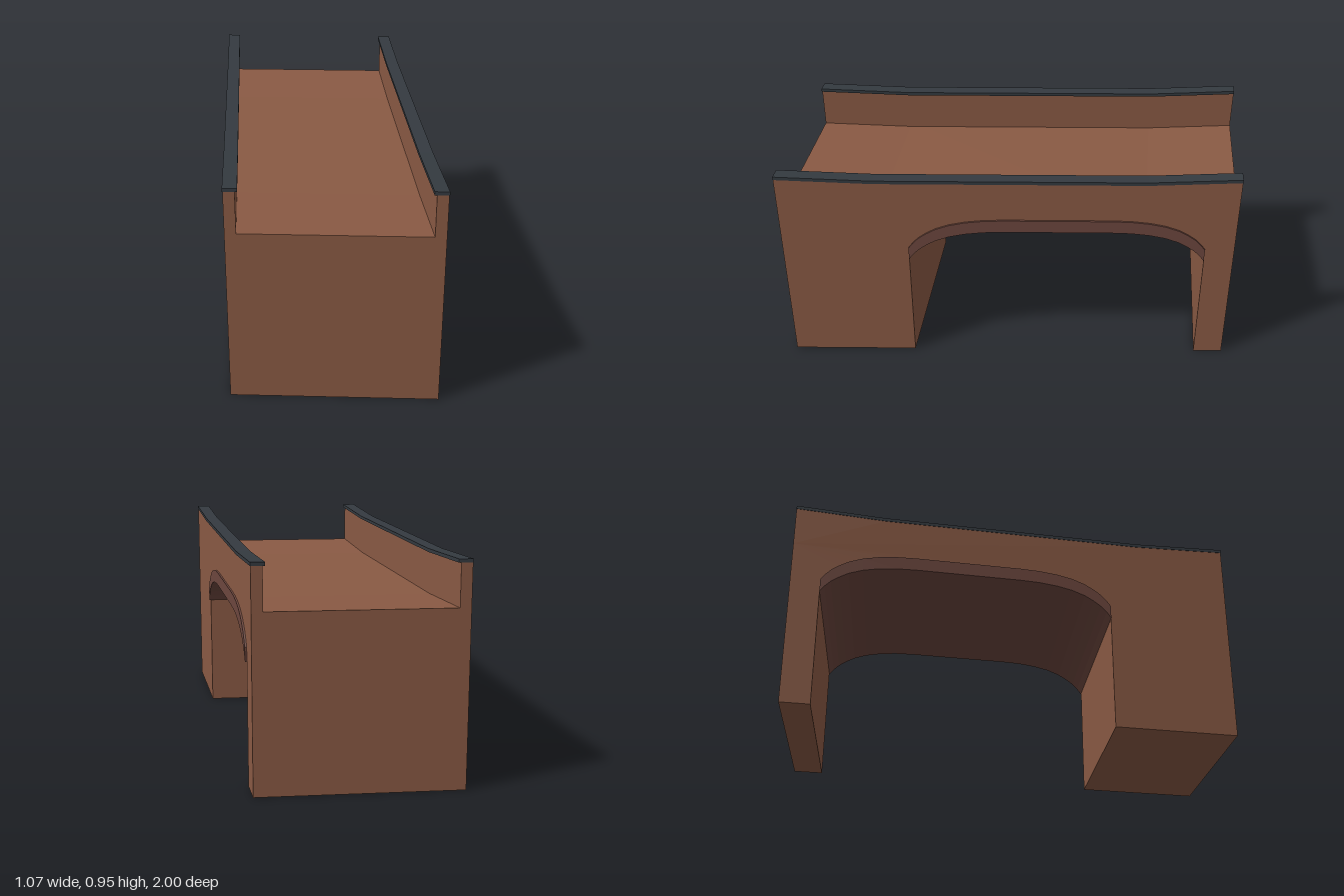
import * as THREE from 'three';

const SKEW = 0.0985; // sideways drift of the bridge per unit of z

// Extrudes a side outline of [z, y] points from x0 to x1 and skews it along z
function skewPrism(name, outline, x0, x1, material) {
  const shape = new THREE.Shape(outline.map(([z, y]) => new THREE.Vector2(z, y)));
  const geo = new THREE.ExtrudeGeometry(shape, { depth: x1 - x0, bevelEnabled: false });
  geo.rotateY(-Math.PI / 2).translate(x1, 0, 0);
  const p = geo.attributes.position;
  for (let i = 0; i < p.count; i++) p.setX(i, p.getX(i) + SKEW * p.getZ(i));
  geo.computeVertexNormals();
  const mesh = new THREE.Mesh(geo, material);
  mesh.name = name;
  return mesh;
}

// Line along the bridge that dips slightly between the ends
const sagLine = (y) => [[1, y], [0.58, y - 0.017], [-0.6, y - 0.017], [-1, y]];
// Band between two sagging lines
const sagBand = (bottom, top) => [...sagLine(top), ...sagLine(bottom).reverse()];

// Flattened arch from the front springing to the back one
function archLine(lift) {
  const half = [[0.44, 0.53], [0.42, 0.557], [0.395, 0.583], [0.36, 0.608], [0.32, 0.631],
    [0.26, 0.653], [0.19, 0.668], [0.11, 0.677], [0.02, 0.68]];
  const mid = -0.215;
  const back = half.map(([z, y]) => [2 * mid - z, y]).reverse();
  return [...half, ...back].map(([z, y]) => [z, y + lift]);
}

export function createModel() {
  const group = new THREE.Group();
  group.name = 'skewBridge';

  const brick = new THREE.MeshStandardMaterial({ color: 0x8a5a44 });
  brick.name = 'brown brick';
  const archBrick = new THREE.MeshStandardMaterial({ color: 0x6d473e });
  archBrick.name = 'dark arch brick';
  const slate = new THREE.MeshStandardMaterial({ color: 0x343a40 });
  slate.name = 'slate coping';

  const outer = archLine(0.06);
  const inner = archLine(0);

  // Abutments, spandrels and deck in one piece
  const bodyOutline = [...sagLine(0.76), [-1, 0], [-0.87, 0],
    ...outer.slice().reverse(), [0.44, 0]];
  bodyOutline.splice(bodyOutline.length, 0, [1, 0]);
  group.add(skewPrism('bridgeBody', bodyOutline, -0.435, 0.435, brick));

  // Arch barrel, standing slightly proud of both side walls
  group.add(skewPrism('archRing', [...outer, ...inner.slice().reverse()], -0.443, 0.443, archBrick));

  // Parapets with coping that overhangs towards the deck
  for (const [side, s] of [['left', 1], ['right', -1]]) {
    const span = (a, b) => (s > 0 ? [a, b] : [-b, -a]);
    group.add(skewPrism(side + 'Parapet', sagBand(0.76, 0.94), ...span(0.388, 0.435), brick));
    group.add(skewPrism(side + 'Coping', sagBand(0.94, 0.955), ...span(0.378, 0.437), slate));
  }
  return group;
}
